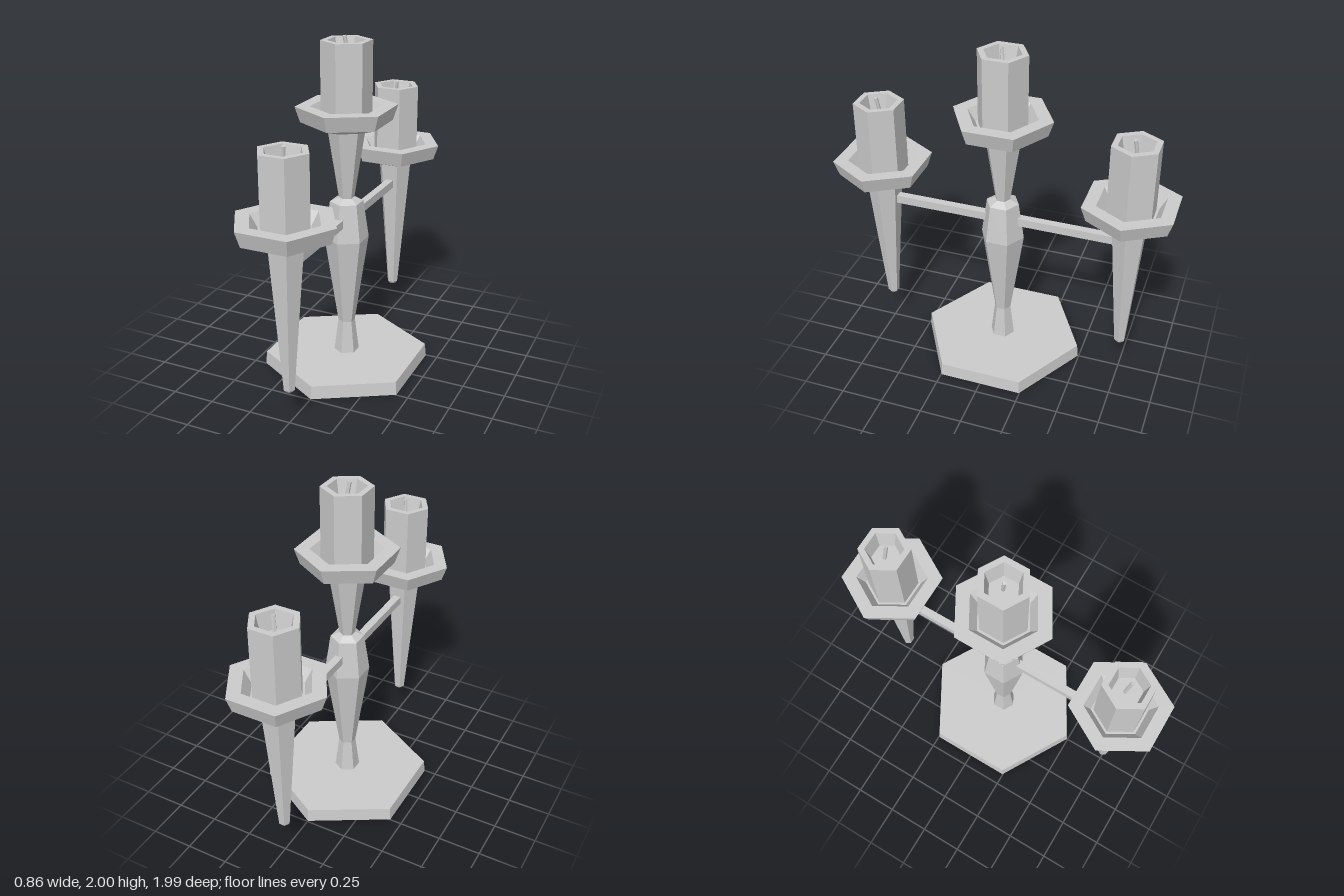
import * as THREE from 'three';

const SIDES = 6;
const metal = new THREE.MeshStandardMaterial({ color: 0xcccccc, flatShading: true });

function mesh(name, geometry) {
  const m = new THREE.Mesh(geometry, metal);
  m.name = name;
  return m;
}

// Six-sided turned part; profile is [radius, y] running from the bottom, up the outside
function turned(name, profile) {
  const points = profile.map(([r, y]) => new THREE.Vector2(r, y));
  return mesh(name, new THREE.LatheGeometry(points, SIDES));
}

// Drip dish, hollow-topped candle and leaning wick, standing on y = 0
function candleCup() {
  const cup = new THREE.Group();
  cup.name = 'candleCup';
  cup.add(turned('dripDish', [
    [0, 0], [0.105, 0], [0.26, 0.05], [0.29, 0.14], [0.205, 0.14], [0.16, 0.07], [0, 0.07],
  ]));
  cup.add(turned('candle', [
    [0.145, 0.06], [0.145, 0.505], [0.108, 0.505], [0.085, 0.4], [0, 0.4],
  ]));
  const wick = mesh('wick', new THREE.CylinderGeometry(0.011, 0.011, 0.14, SIDES));
  wick.position.set(0, 0.46, 0);
  wick.rotation.set(0.13, 0, 0.13);
  cup.add(wick);
  return cup;
}

export function createModel() {
  const model = new THREE.Group();
  model.name = 'candelabra';

  // Foot and central column
  model.add(turned('base', [[0, 0], [0.495, 0], [0.487, 0.08], [0, 0.08]]));
  model.add(turned('column', [
    [0.075, 0.075], [0.05, 0.28], [0.13, 0.82], [0.097, 1.045], [0.045, 1.07], [0.108, 1.475],
  ]));
  const centreCup = candleCup();
  centreCup.position.y = 1.47;
  model.add(centreCup);

  // Mirrored side candles, each on a tapered spike held by a square arm
  for (const side of [1, -1]) {
    const holder = new THREE.Group();
    holder.name = side > 0 ? 'frontHolder' : 'backHolder';
    holder.position.z = side * 0.745;
    holder.rotation.y = Math.PI / 2;
    holder.add(turned('spike', [[0, 0.2], [0.022, 0.2], [0.034, 0.215], [0.106, 1.065]]));
    const cup = candleCup();
    cup.position.y = 1.06;
    holder.add(cup);
    model.add(holder);

    const arm = mesh(side > 0 ? 'frontArm' : 'backArm', new THREE.BoxGeometry(0.046, 0.05, 0.59));
    arm.position.set(0, 0.935, side * 0.385);
    model.add(arm);
  }
  return model;
}
